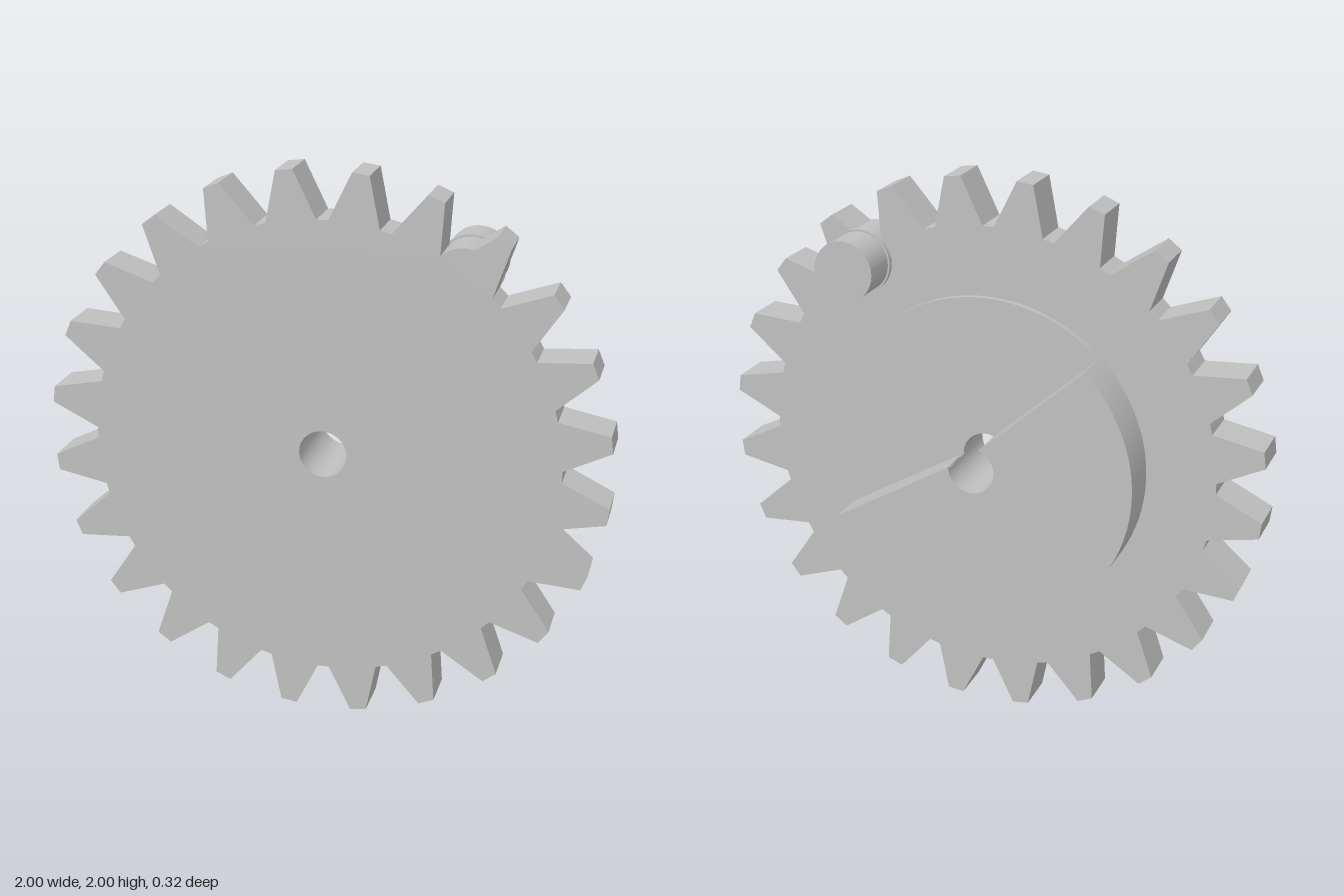
import * as THREE from 'three';
import { toCreasedNormals } from 'three/addons/utils/BufferGeometryUtils.js';

const CY = 1;          // axle height
const BORE = 0.085;    // axle hole radius
const TEETH = 24;

export function createModel() {
  const group = new THREE.Group();
  group.name = 'gear';
  const steel = new THREE.MeshStandardMaterial({ color: 0xc0c0c0 });
  steel.name = 'grey metal';

  // Extrude a shape between two depths, keeping round walls smooth
  function slab(name, shape, z0, z1) {
    const geo = new THREE.ExtrudeGeometry(shape, { depth: z1 - z0, bevelEnabled: false, curveSegments: 48 });
    const mesh = new THREE.Mesh(toCreasedNormals(geo, 0.3), steel);
    mesh.position.set(0, CY, z0);
    mesh.name = name;
    group.add(mesh);
  }

  function circle(x, y, r) {
    const s = new THREE.Shape();
    s.absarc(x, y, r, 0, Math.PI * 2, false);
    return s;
  }

  function bore(shape) {
    const hole = new THREE.Path();
    hole.absarc(0, 0, BORE, 0, Math.PI * 2, true);
    shape.holes.push(hole);
    return shape;
  }

  // Toothed wheel
  const step = (Math.PI * 2) / TEETH;
  const profile = [];
  for (let i = 0; i < TEETH; i++) {
    const mid = (i + 0.5) * step;
    for (const [r, deg] of [[0.835, -6.1], [1.005, -1.7], [1.005, 1.7], [0.835, 6.1]]) {
      const a = mid + THREE.MathUtils.degToRad(deg);
      profile.push(new THREE.Vector2(r * Math.cos(a), r * Math.sin(a)));
    }
  }
  slab('toothedWheel', bore(new THREE.Shape(profile)), 0.004, 0.16);

  // Thin round pad on the back
  slab('backPad', bore(circle(0, 0, 0.587)), -0.017, 0.006);

  // Raised sector whose slightly bent edge cuts across the axle hole
  const start = THREE.MathUtils.degToRad(134.3);
  const end = THREE.MathUtils.degToRad(333.4);
  const sector = new THREE.Shape();
  sector.absarc(0, 0, 0.587, start, end, false);
  sector.lineTo(0.08, 0);
  sector.absarc(0, 0, BORE, 0, THREE.MathUtils.degToRad(-250), true);
  sector.closePath();
  slab('raisedSector', sector, -0.16, -0.016);

  // Crank pin running through the rim, with a small collar
  slab('crankPin', circle(0.477, 0.663, 0.108), -0.147, 0.16);
  slab('pinCollar', circle(0.477, 0.663, 0.115), -0.013, 0.006);

  return group;
}
